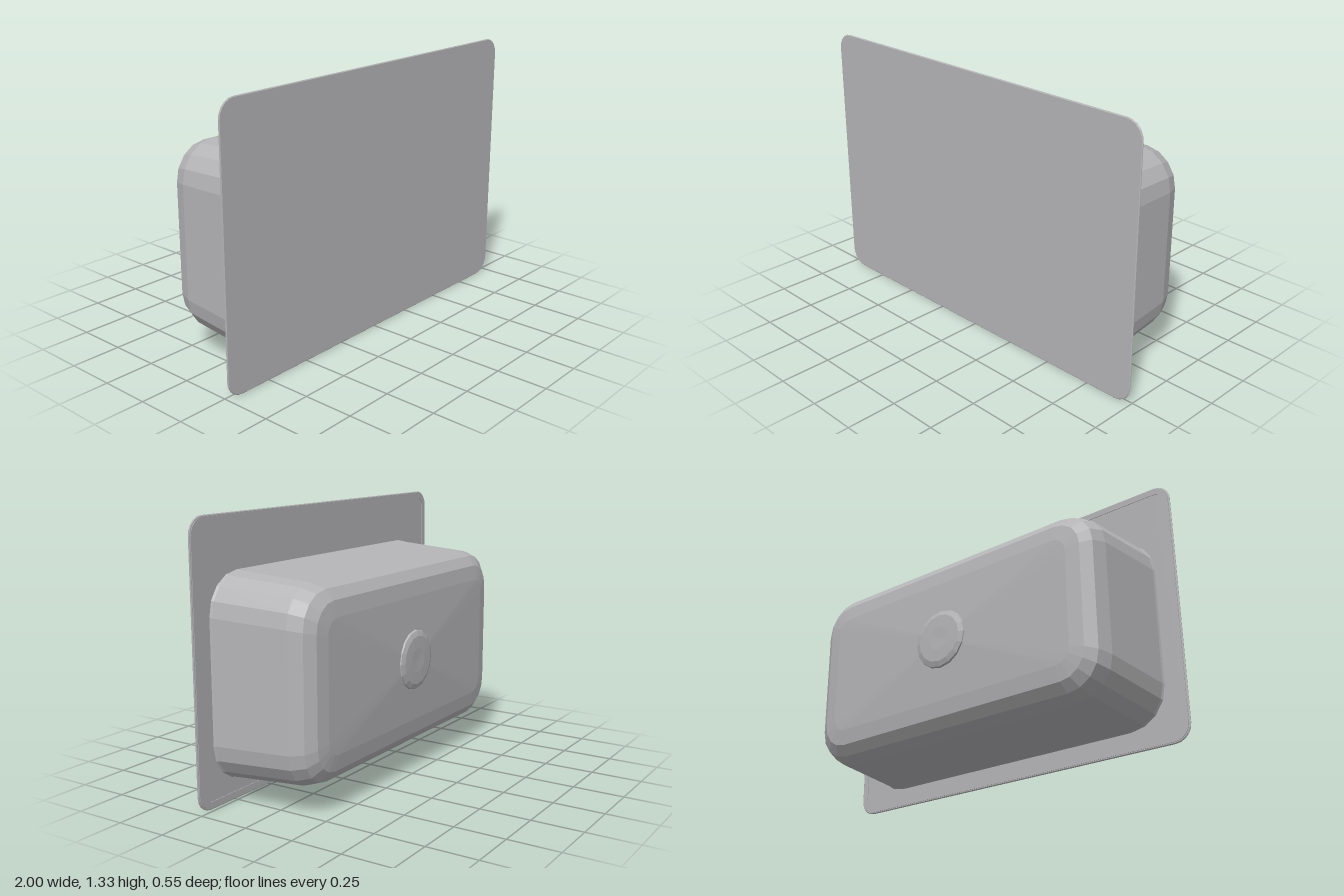
import * as THREE from 'three';

const CENTER_Y = 0.585;

// Rounded rectangle outline, counter-clockwise, as half sizes and corner radius
function outline(hx, hy, r, segments) {
  const points = [];
  [[1, 1], [-1, 1], [-1, -1], [1, -1]].forEach(([sx, sy], k) => {
    for (let i = 0; i <= segments; i++) {
      const a = (k + i / segments) * Math.PI / 2;
      points.push(new THREE.Vector2(sx * (hx - r) + r * Math.cos(a), sy * (hy - r) + r * Math.sin(a)));
    }
  });
  return points;
}

// Skin through rounded rectangles running toward -z
function loft(sections, segments) {
  const positions = [], indices = [];
  for (const [z, hx, hy, r] of sections) {
    for (const p of outline(hx, hy, r, segments)) positions.push(p.x, p.y, z);
  }
  const n = 4 * (segments + 1);
  for (let s = 0; s < sections.length - 1; s++) {
    for (let i = 0; i < n; i++) {
      const j = (i + 1) % n, a = s * n, b = a + n;
      indices.push(a + i, b + i, a + j, a + j, b + i, b + j);
    }
  }
  const geometry = new THREE.BufferGeometry();
  geometry.setAttribute('position', new THREE.Float32BufferAttribute(positions, 3));
  geometry.setIndex(indices);
  geometry.computeVertexNormals();
  return geometry;
}

export function createModel() {
  const group = new THREE.Group();
  const steel = new THREE.MeshStandardMaterial({ color: 0xb5b5b8, flatShading: true });
  steel.name = 'brushed steel';

  const add = (name, geometry, x, y, z) => {
    const mesh = new THREE.Mesh(geometry, steel);
    mesh.name = name;
    mesh.position.set(x, y, z);
    group.add(mesh);
  };

  // Flat front plate with softened edges
  const plate = new THREE.ExtrudeGeometry(new THREE.Shape(outline(0.996, 0.661, 0.08, 5)), {
    depth: 0.003, bevelEnabled: true, bevelThickness: 0.003, bevelSize: 0.004, bevelSegments: 1,
  });
  add('frontPlate', plate, 0, 0.665, 0.269);

  // Thin lip turned toward the back around the plate
  const lipShape = new THREE.Shape(outline(0.992, 0.657, 0.078, 5));
  lipShape.holes.push(new THREE.Path(outline(0.962, 0.627, 0.05, 5).reverse()));
  add('plateLip', new THREE.ExtrudeGeometry(lipShape, { depth: 0.005, bevelEnabled: false }), 0, 0.665, 0.263);

  // Tapered basin: z, half width, half height, corner radius
  add('basin', loft([
    [0.268, 0.89, 0.487, 0.19],
    [0.255, 0.885, 0.483, 0.19],
    [-0.13, 0.86, 0.457, 0.18],
    [-0.20, 0.835, 0.433, 0.165],
    [-0.235, 0.785, 0.385, 0.13],
    [-0.246, 0.715, 0.31, 0.07],
    [-0.264, 0.001, 0.001, 0.001],
  ], 4), 0, CENTER_Y, 0);

  // Shallow drain boss on the middle of the basin
  const profile = [[0.15, 0.25], [0.145, 0.266], [0.12, 0.275], [0.06, 0.277], [0, 0.275]];
  const drain = new THREE.LatheGeometry(profile.map(([r, h]) => new THREE.Vector2(r, h)), 16);
  drain.rotateX(-Math.PI / 2);
  add('drain', drain, 0, CENTER_Y, 0);

  return group;
}
